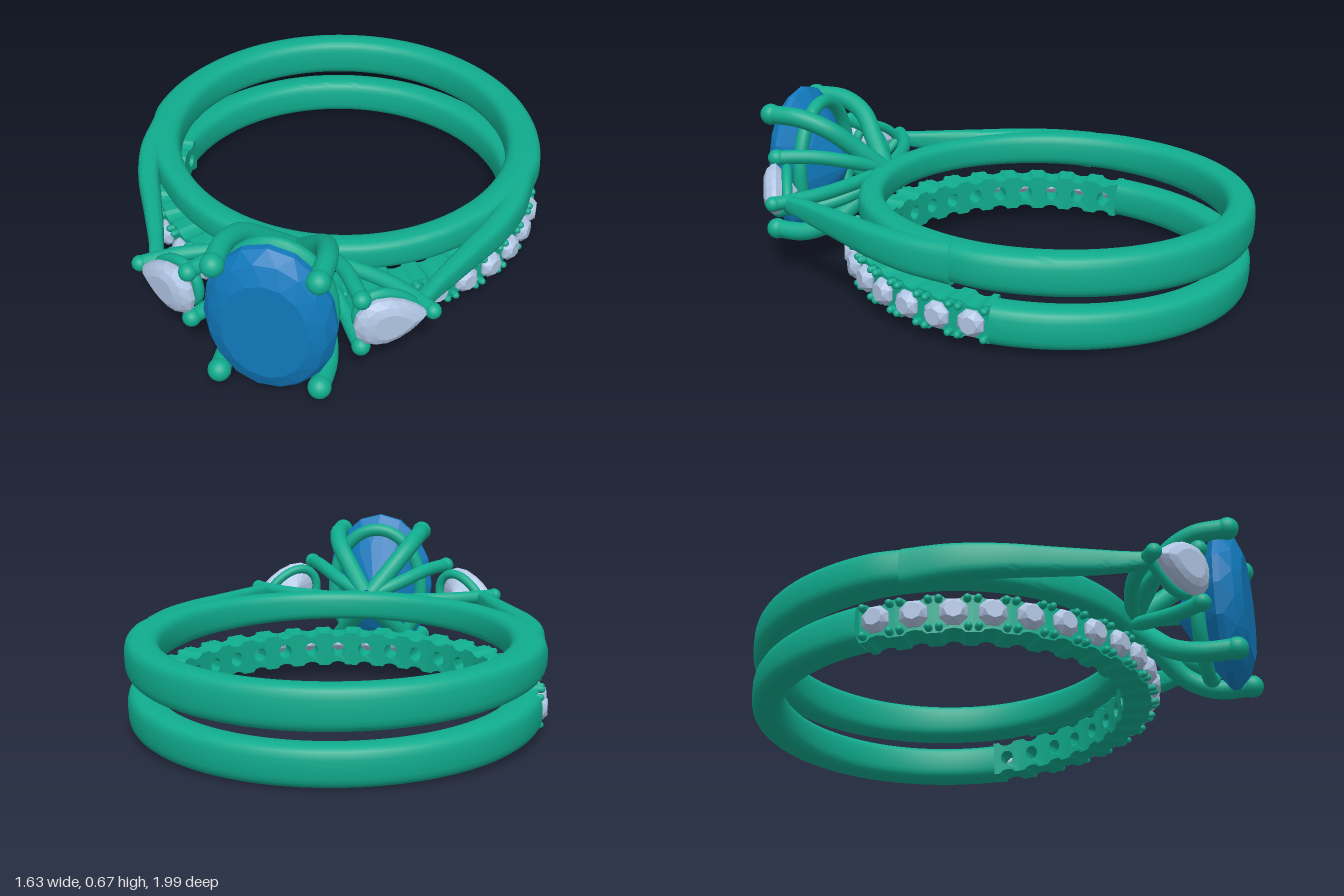
import * as THREE from 'three';
import { toCreasedNormals } from 'three/addons/utils/BufferGeometryUtils.js';

const metal = new THREE.MeshStandardMaterial({ color: 0x10ac8e });
const blue = new THREE.MeshStandardMaterial({ color: 0x1079bc, flatShading: true });
const pale = new THREE.MeshStandardMaterial({ color: 0xb0c4e2, flatShading: true });
const V = (x, y, z) => new THREE.Vector3(x, y, z);
const RAD = Math.PI / 180;
const INNER = 0.667, CZ = -0.215; // finger hole radius and its centre in z
const MID = 0.343;                // height of the setting's axis

function add(parent, name, geometry, material = metal) {
  const mesh = new THREE.Mesh(geometry, material);
  mesh.name = name;
  parent.add(mesh);
  return mesh;
}

// Sweep a rounded section along a path; frame(s) gives centre p, width w and height h
function sweep(count, closed, frame, power = 0.6) {
  const M = 24, pos = [], idx = [];
  const soft = v => Math.sign(v) * Math.abs(v) ** power;
  const rows = closed ? count : count + 1;
  const frames = Array.from({ length: rows }, (_, i) => frame(i / count));
  const at = i => frames[closed ? (i + rows) % rows : Math.min(Math.max(i, 0), rows - 1)];
  frames.forEach(({ p, w, h }, i) => {
    const t = at(i + 1).p.clone().sub(at(i - 1).p).setY(0).normalize();
    for (let j = 0; j < M; j++) {
      const a = j / M * Math.PI * 2, o = soft(Math.cos(a)) * w / 2;
      pos.push(p.x - t.z * o, p.y + soft(Math.sin(a)) * h / 2, p.z + t.x * o);
    }
  });
  for (let i = 0; i < count; i++) for (let j = 0; j < M; j++) {
    const k = (j + 1) % M, n = (i + 1) % rows;
    const a = i * M + j, b = n * M + j, c = i * M + k, d = n * M + k;
    idx.push(a, b, c, b, d, c);
  }
  if (!closed) for (let j = 1; j < M - 1; j++) {
    const e = count * M;
    idx.push(0, j, j + 1, e, e + j + 1, e + j);
  }
  const g = new THREE.BufferGeometry();
  g.setAttribute('position', new THREE.Float32BufferAttribute(pos, 3));
  g.setIndex(idx);
  return toCreasedNormals(g, 0.9);
}

// Faceted stone facing +z: rings of points from culet to table
function gem(outline, N, levels) {
  const pos = [], idx = [];
  for (const [s, z, phase] of levels) for (let j = 0; j < N; j++) {
    const [x, y] = outline((j + phase) / N * Math.PI * 2);
    pos.push(x * s, y * s, z);
  }
  for (let i = 0; i < levels.length - 1; i++) for (let j = 0; j < N; j++) {
    const k = (j + 1) % N, a = i * N + j, b = i * N + k, c = a + N, d = b + N;
    if (levels[i][0] > 0) idx.push(a, b, c);
    if (levels[i + 1][0] > 0) idx.push(b, d, c);
  }
  const g = new THREE.BufferGeometry();
  g.setAttribute('position', new THREE.Float32BufferAttribute(pos, 3));
  g.setIndex(idx);
  const flat = g.toNonIndexed();
  flat.computeVertexNormals();
  return flat;
}

// Round wire with a ball tip
function wire(parent, name, points, r, tip) {
  const g = new THREE.Group();
  g.name = name;
  add(g, name + 'Wire', new THREE.TubeGeometry(new THREE.CatmullRomCurve3(points), 32, r, 14));
  add(g, name + 'Tip', new THREE.SphereGeometry(tip, 18, 12)).position.copy(points.at(-1));
  parent.add(g);
}

function hoop(outline, scale, r) {
  const pts = Array.from({ length: 32 }, (_, i) => {
    const [x, y] = outline(i / 32 * Math.PI * 2);
    return V(x * scale, y * scale, 0);
  });
  return new THREE.TubeGeometry(new THREE.CatmullRomCurve3(pts, true), 72, r, 12, true);
}

const oval = t => [0.24 * Math.cos(t), 0.322 * Math.sin(t)];
const pear = t => [0.135 * Math.cos(t), 0.125 * Math.sin(t) * Math.sin(t / 2 % Math.PI) ** 0.8];

function engagementRing() {
  const ring = new THREE.Group();
  ring.name = 'engagementRing';
  // Band, thickest at the sides
  add(ring, 'upperBand', sweep(120, true, s => {
    const a = s * Math.PI * 2, c = Math.cos(a);
    const w = c < 0 ? 0.143 + 0.028 * c : 0.143 - 0.043 * Math.min(1, c * 1.6);
    const r = INNER + w / 2, z = CZ + r * c;
    const top = 0.365 + 0.02 * Math.min(1, z + 1), low = 0.2 + 0.045 * (z + 1);
    return { p: V(r * Math.sin(a), (top + low) / 2, z), w, h: top - low };
  }));
  for (const s of [-1, 1]) {
    // Shoulder splitting away from the band toward the side stone
    const path = new THREE.CatmullRomCurve3([[0.742, -0.12], [0.735, 0.05], [0.69, 0.22],
      [0.62, 0.38], [0.55, 0.54], [0.51, 0.64], [0.485, 0.71]].map(([x, z]) => V(s * x, 0, z)));
    add(ring, 'shoulder', sweep(40, false, u => {
      const h = 0.155 - 0.1 * u, p = path.getPoint(u);
      p.y = 0.383 - 0.017 * u - h / 2;
      return { p, w: 0.11 - 0.055 * Math.min(1, u * 1.3), h };
    }));
    // Side stone setting
    const side = new THREE.Group();
    side.name = 'sideSetting';
    side.position.set(s * 0.405, MID, 0.81);
    side.rotation.set(0, s * 0.535, s < 0 ? Math.PI : 0);
    add(side, 'sideStone', gem(pear, 16, [[0, -0.09, 0], [0.6, -0.045, 0.5], [1, -0.008, 1],
      [1, 0.008, 1], [0.82, 0.03, 1.5], [0.55, 0.042, 2], [0, 0.042, 2]]), pale);
    add(side, 'sideGallery', hoop(pear, 0.8, 0.02)).position.z = -0.05;
    ring.add(side);
    wire(ring, 'outerProng', [V(0, MID, 0.54), V(s * 0.2, MID, 0.575), V(s * 0.36, MID, 0.625),
      V(s * 0.48, MID, 0.69), V(s * 0.54, MID, 0.735)], 0.028, 0.03);
    for (const v of [-1, 1]) {
      wire(ring, 'sideProng', [[0.02, 0.02, 0.54], [0.14, 0.07, 0.62], [0.22, 0.1, 0.71],
        [0.27, 0.108, 0.79], [0.31, 0.108, 0.855]]
        .map(([x, y, z]) => V(s * x, MID + v * y, z)), 0.029, 0.034);
      wire(ring, 'centreProng', [[0.01, 0.02, 0.54], [0.08, 0.11, 0.62], [0.15, 0.2, 0.71],
        [0.182, 0.243, 0.82], [0.184, 0.247, 0.95]]
        .map(([x, y, z]) => V(s * x, MID + v * y, z)), 0.038, 0.043);
    }
  }
  // Large oval stone and its gallery hoop
  add(ring, 'centreStone', gem(oval, 16, [[0, -0.2, 0], [0.6, -0.1, 0.5], [1, -0.012, 1],
    [1, 0.012, 1], [0.88, 0.055, 1.5], [0.66, 0.083, 2], [0, 0.083, 2]]), blue)
    .position.set(0, MID + 0.004, 0.902);
  add(ring, 'centreGallery', hoop(oval, 0.83, 0.028)).position.set(0, MID, 0.817);
  return ring;
}

// One drilled, scalloped segment of the jewelled band, bent to the ring's curve
function seatSegment() {
  const K = 0.72, half = 5 * RAD * K, shape = new THREE.Shape();
  const edge = [[-1, 0.072], [-0.6, 0.072], [-0.4, 0.06], [0, 0.055], [0.4, 0.06], [0.6, 0.072], [1, 0.072]];
  edge.forEach(([u, y], i) => shape[i ? 'lineTo' : 'moveTo'](u * half, -y));
  [...edge].reverse().forEach(([u, y]) => shape.lineTo(u * half, y));
  const hole = new THREE.Path();
  hole.absarc(0, 0, 0.03, 0, Math.PI * 2, true);
  shape.holes.push(hole);
  const g = new THREE.ExtrudeGeometry(shape, { depth: 0.108, bevelEnabled: false, curveSegments: 10 });
  const p = g.attributes.position;
  for (let i = 0; i < p.count; i++) {
    const a = p.getX(i) / K, r = INNER + p.getZ(i);
    p.setXYZ(i, r * Math.sin(a), p.getY(i), r * Math.cos(a));
  }
  return toCreasedNormals(g, 0.6);
}

function jewelledBand() {
  const band = new THREE.Group();
  band.name = 'jewelledBand';
  // Plain rear part
  add(band, 'lowerBand', sweep(80, false, s => {
    const a = (95 + 170 * s) * RAD, w = 0.137 + 0.017 * Math.cos(a), r = INNER + w / 2;
    return { p: V(r * Math.sin(a), 0, r * Math.cos(a)), w, h: 0.15 };
  }));
  // Row of small stones with beads between them
  const seat = seatSegment();
  const stone = gem(t => [0.053 * Math.cos(t), 0.053 * Math.sin(t)], 8, [[0, -0.06, 0],
    [1, -0.005, 0.5], [1, 0.005, 0.5], [0.62, 0.028, 1], [0, 0.028, 1]]);
  const bead = new THREE.CapsuleGeometry(0.014, 0.05, 4, 8).rotateX(Math.PI / 2);
  for (let i = -9; i <= 9; i++) {
    const cell = new THREE.Group();
    cell.name = 'stoneSeat';
    cell.rotation.y = i * 10 * RAD;
    add(cell, 'seat', seat);
    add(cell, 'smallStone', stone, pale).position.z = 0.787;
    for (const u of [-1, 1]) for (const v of [-1, 1])
      add(cell, 'bead', bead).position.set(u * 0.05, v * 0.054, 0.765);
    band.add(cell);
  }
  band.position.set(0, 0.108, -0.2);
  band.rotation.x = -0.04;
  return band;
}

export function createModel() {
  const model = new THREE.Group();
  model.name = 'ringSet';
  model.add(engagementRing(), jewelledBand());
  return model;
}
